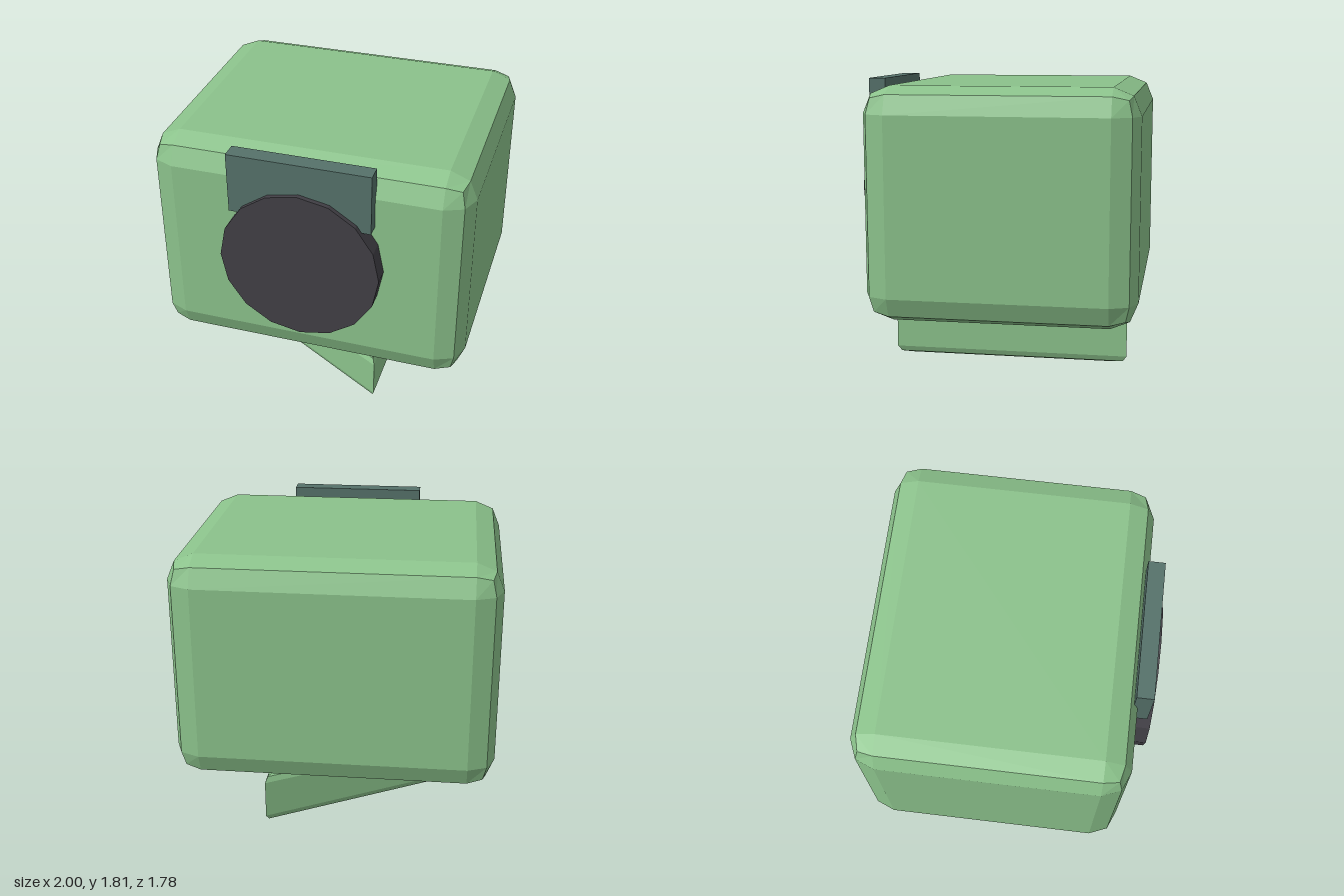
import * as THREE from 'three';
import { RoundedBoxGeometry } from 'three/addons/geometries/RoundedBoxGeometry.js';

const flat = (color) => new THREE.MeshStandardMaterial({ color, flatShading: true });

export function createModel() {
  const model = new THREE.Group();
  const green = flat(0x8bc28b);
  const slate = flat(0x55716a);
  const dark = flat(0x413f45);

  const add = (name, geometry, material, x, y, z) => {
    const mesh = new THREE.Mesh(geometry, material);
    mesh.name = name;
    mesh.position.set(x, y, z);
    model.add(mesh);
    return mesh;
  };

  // Bevelled box body
  add('body', new RoundedBoxGeometry(2, 1.44, 1.67, 1, 0.167), green, 0, 1.06, -0.055);

  // Triangular foot with bevelled rims, one corner towards -x
  const profile = [
    [0, 0], [0.77, 0], [0.84, 0.015], [0.868, 0.05],
    [0.868, 0.29], [0.84, 0.325], [0.77, 0.34], [0, 0.34],
  ].map(([r, y]) => new THREE.Vector2(r, y));
  add('foot', new THREE.LatheGeometry(profile, 3, -Math.PI / 2), green, 0, 0, -0.05);

  // Sixteen-sided disc on the front
  const disc = new THREE.CylinderGeometry(0.5, 0.5, 0.14, 16);
  disc.rotateX(Math.PI / 2);
  add('frontDisc', disc, dark, 0, 1.113, 0.82);

  // Plate above the disc, rising past the top edge
  add('topPlate', new THREE.BoxGeometry(0.88, 0.385, 0.105), slate, 0, 1.613, 0.807);

  return model;
}
